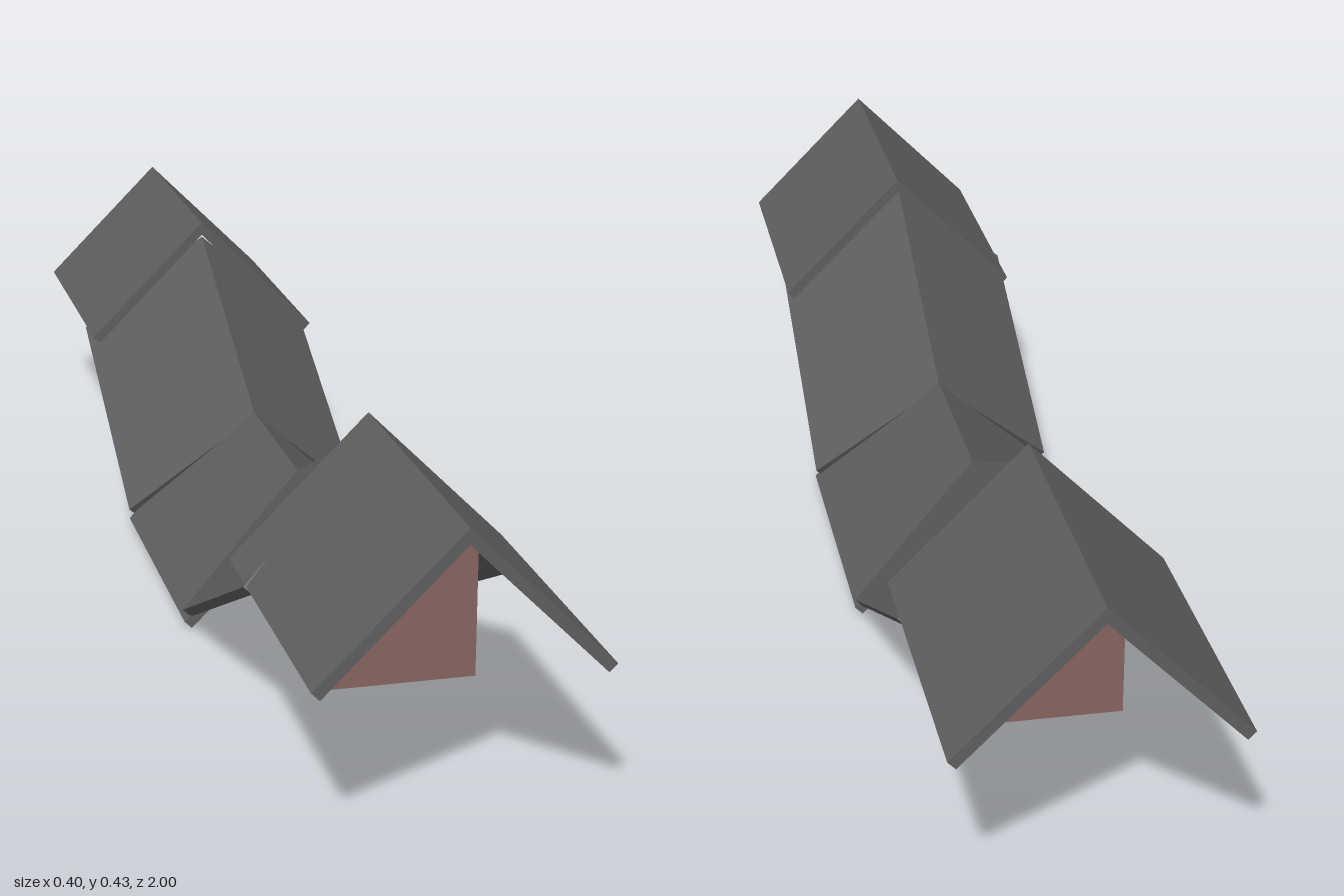
import * as THREE from 'three';

export function createModel() {
  const model = new THREE.Group();
  const roofGrey = new THREE.MeshStandardMaterial({ color: 0x5f5f5f });
  roofGrey.name = 'roof grey';
  const beamRed = new THREE.MeshStandardMaterial({ color: 0x886460 });
  beamRed.name = 'beam red';

  // Gable section: an upside-down V of two plates, outer ridge at the origin
  const half = 0.196, edge = 0.011, length = 0.46;
  const section = new THREE.Shape([
    [0, 0], [-half, -half], [-half + edge, -half - edge],
    [0, -2 * edge], [half - edge, -half - edge], [half, -half],
  ].map(([x, y]) => new THREE.Vector2(x, y)));
  const gable = new THREE.ExtrudeGeometry(section, { depth: length, bevelEnabled: false });
  gable.translate(0, 0, -length / 2);

  // Ridge centre x, y, z and tilt of each roof piece
  const tilt = THREE.MathUtils.degToRad(25.7);
  const pieces = [
    ['frontRoof', 0.001, 0.421, 0.77, 0],
    ['frontSlopeRoof', -0.003, 0.302, 0.355, -tilt],
    ['middleRoof', -0.003, 0.207, 0.015, 0],
    ['backSlopeRoof', -0.003, 0.302, -0.338, tilt],
    ['backRoof', -0.004, 0.428, -0.77, 0],
  ];
  for (const [name, x, y, z, angle] of pieces) {
    const roof = new THREE.Mesh(gable, roofGrey);
    roof.name = name;
    roof.position.set(x, y, z);
    roof.rotation.x = angle;
    model.add(roof);
  }

  // Long beam with a flat underside, its top trimmed to lie within the roof plates
  const bottom = 0.083, top = 0.307;
  const grid = new THREE.BoxGeometry(0.223, top - bottom, 1.38, 16, 1, 138);
  grid.translate(0.003, (top + bottom) / 2, 0);
  const points = grid.attributes.position;
  for (let i = 0; i < points.count; i++) {
    if (points.getY(i) < 0.2) continue;
    const drop = Math.abs(points.getX(i) + 0.003) + 0.012;
    const z = points.getZ(i);
    const slopeMiddle = z > 0 ? 0.355 : 0.338;
    const slopeRoof = 0.302 + (Math.abs(z) - slopeMiddle) * Math.tan(tilt) - drop / Math.cos(tilt);
    const lowerRoof = Math.max(0.207 - drop, slopeRoof);
    points.setY(i, Math.max(bottom, Math.min(top, lowerRoof, 0.421 - drop)));
  }
  const beamShape = grid.toNonIndexed();
  beamShape.computeVertexNormals();
  const beam = new THREE.Mesh(beamShape, beamRed);
  beam.name = 'beam';
  model.add(beam);

  return model;
}
